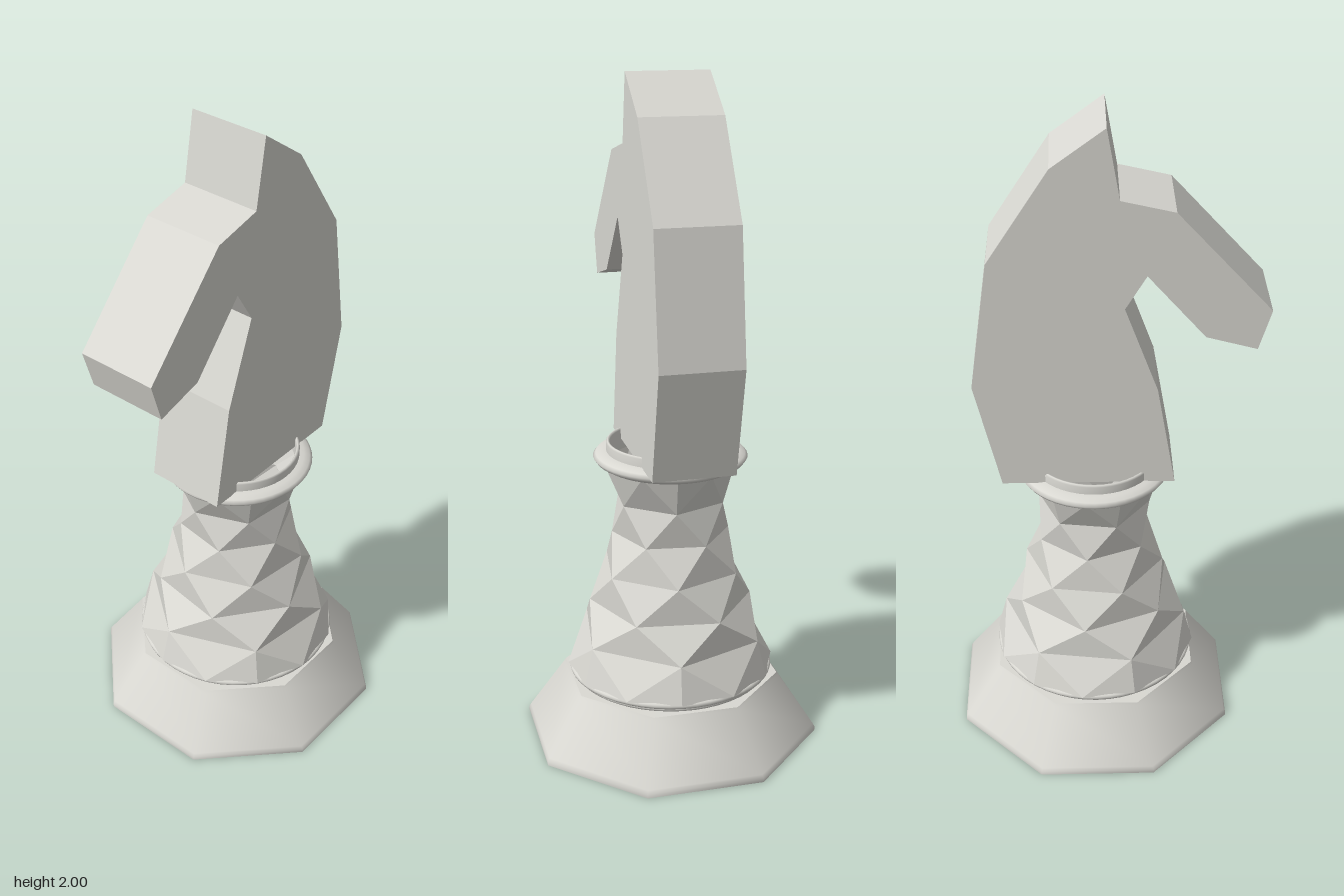
import * as THREE from 'three';

const CX = 0.035; // the turned parts sit slightly off the head's centre

export function createModel() {
  const group = new THREE.Group();
  const stone = new THREE.MeshStandardMaterial({ color: 0xd9d8d2, side: THREE.DoubleSide });
  stone.name = 'pale stone';

  const add = (name, geometry, x = CX, y = 0, z = 0) => {
    const mesh = new THREE.Mesh(geometry, stone);
    mesh.name = name;
    mesh.position.set(x, y, z);
    group.add(mesh);
    return mesh;
  };
  const lathe = (points, sides = 48, start = 0) =>
    new THREE.LatheGeometry(points.map(p => new THREE.Vector2(...p)), sides, start);

  // Flat horse head, cut from a slab
  const outline = [
    [0, 2], [-0.035, 1.8], [-0.185, 1.765], [-0.455, 1.47], [-0.42, 1.35],
    [-0.275, 1.39], [-0.11, 1.58], [-0.05, 1.48], [-0.145, 1.22], [-0.2, 0.905],
    [0.305, 0.905], [0.38, 1.235], [0.325, 1.62], [0.15, 1.89],
  ];
  const headShape = new THREE.Shape(outline.map(p => new THREE.Vector2(...p)));
  add('horseHead', new THREE.ExtrudeGeometry(headShape, { depth: 0.245, bevelEnabled: false }), 0, 0, -0.124);

  // Hollow faceted stem: six-sided rings, each turned half a step from the last
  const at = (ring, deg) => {
    const a = THREE.MathUtils.degToRad(deg);
    return [ring[1] * Math.cos(a), ring[0], ring[1] * Math.sin(a)];
  };
  const rings = [[0.33, 0.288], [0.43, 0.247], [0.54, 0.215], [0.65, 0.177], [0.76, 0.17]];
  const foot = [0.22, 0.317], crown = [0.875, 0.202];
  const tris = [];
  for (let k = 0; k < 6; k++) {
    rings.forEach((ring, j) => {
      if (j === rings.length - 1) return;
      const a = 68 + 60 * k + 30 * (j % 2), up = rings[j + 1];
      tris.push(at(ring, a), at(up, a + 30), at(ring, a + 60));
      tris.push(at(ring, a), at(up, a - 30), at(up, a + 30));
    });
    // twelve-sided borders at both ends
    const a = 68 + 60 * k, low = rings[0], high = rings[rings.length - 1];
    tris.push(at(low, a), at(low, a + 60), at(foot, a + 30));
    tris.push(at(low, a), at(foot, a), at(foot, a - 30));
    tris.push(at(low, a), at(foot, a + 30), at(foot, a));
    tris.push(at(high, a), at(crown, a + 30), at(high, a + 60));
    tris.push(at(high, a), at(crown, a), at(crown, a + 30));
    tris.push(at(high, a), at(crown, a - 30), at(crown, a));
  }
  const stem = new THREE.BufferGeometry();
  stem.setAttribute('position', new THREE.Float32BufferAttribute(tris.flat(), 3));
  stem.computeVertexNormals();
  add('facetedStem', stem);

  // Rounded collar and thin lip under the head
  add('collar', lathe([
    [0.185, 0.87], [0.205, 0.868], [0.222, 0.878], [0.23, 0.89],
    [0.222, 0.899], [0.205, 0.906], [0.187, 0.908],
  ]));
  add('collarLip', lathe([
    [0.18, 0.87], [0.18, 0.932], [0.183, 0.937], [0.187, 0.937],
    [0.191, 0.932], [0.191, 0.9],
  ]));

  // Rings between stem and base
  const ring = (name, radius, tube, y) =>
    add(name, new THREE.TorusGeometry(radius, tube, 10, 48).rotateX(Math.PI / 2), CX, y);
  ring('stemRing', 0.302, 0.01, 0.215);
  ring('baseRing', 0.288, 0.01, 0.2);
  ring('innerRing', 0.279, 0.01, 0.262);

  // Open eight-sided skirt with a flat rim
  add('baseSkirt', lathe([[0.455, 0], [0.455, 0.012], [0.449, 0.022], [0.337, 0.183], [0.332, 0.191]], 8, Math.PI / 8));
  add('baseRim', lathe([[0.332, 0.191], [0.275, 0.193]], 8, Math.PI / 8));

  return group;
}
